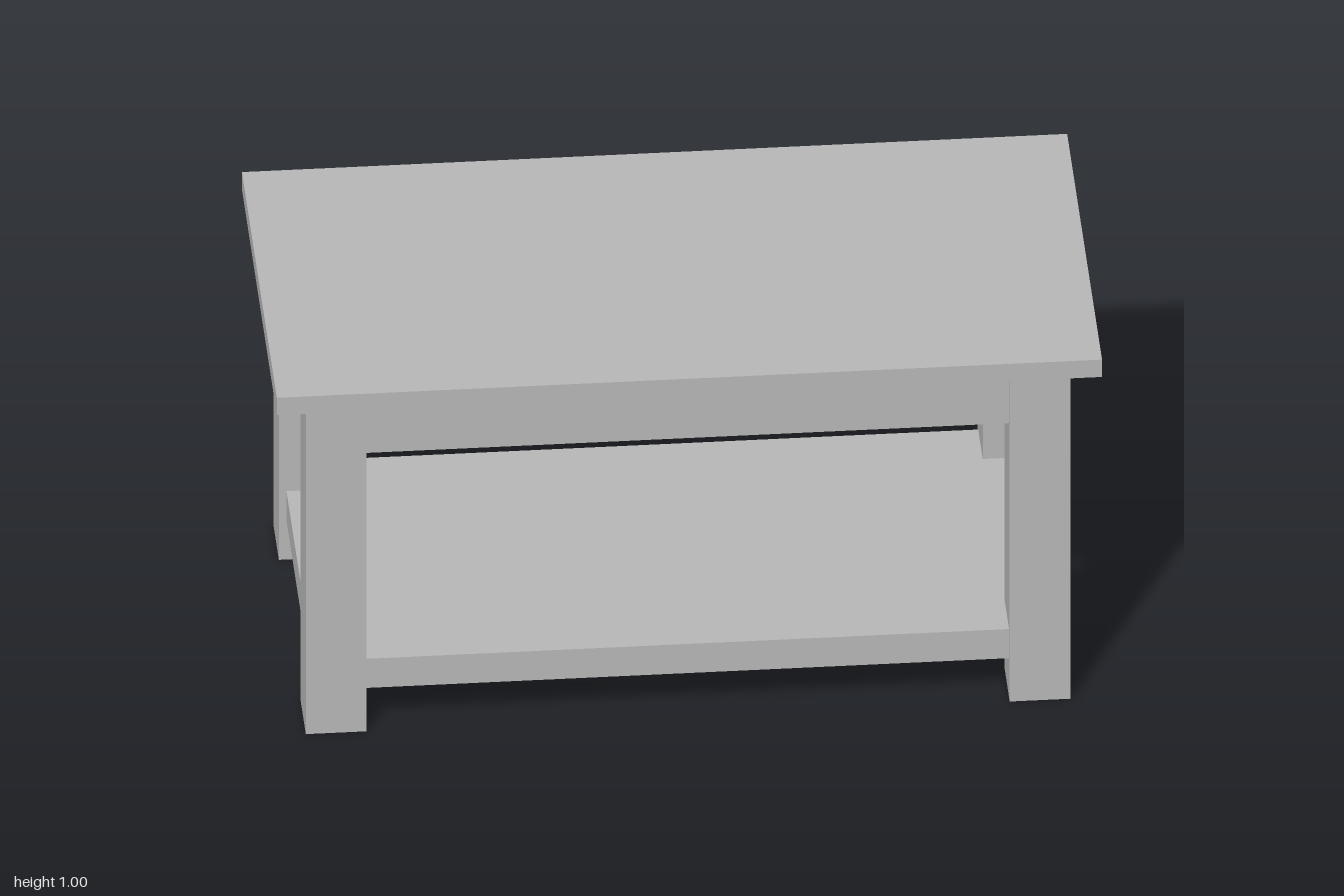
import * as THREE from 'three';

export function createModel() {
  const table = new THREE.Group();
  table.name = 'coffeeTable';

  const grey = new THREE.MeshStandardMaterial({ color: 0xb8b8b8 });
  grey.name = 'plain grey';

  // Box given by its size, centre x/z and bottom height
  function box(name, w, h, d, x, bottom, z) {
    const mesh = new THREE.Mesh(new THREE.BoxGeometry(w, h, d), grey);
    mesh.name = name;
    mesh.position.set(x, bottom + h / 2, z);
    table.add(mesh);
  }

  const legX = 0.853, legZ = 0.386;   // leg centres
  const legW = 0.147, legD = 0.149;   // leg section
  const inX = legX - legW / 2, inZ = legZ - legD / 2; // inner leg faces
  const outX = 0.908, outZ = 0.442;   // outer faces of aprons and shelf
  const underTop = 0.95, board = 0.035;

  box('tableTop', 2, 0.05, 1, 0, underTop, 0);

  for (const s of [-1, 1]) {
    const side = s > 0 ? 'left' : 'right';
    const end = s > 0 ? 'front' : 'back';

    // Legs
    box(side + 'FrontLeg', legW, underTop, legD, s * legX, 0, legZ);
    box(side + 'BackLeg', legW, underTop, legD, s * legX, 0, -legZ);

    // Aprons between the legs, set slightly back from their outer faces
    box(end + 'Apron', inX * 2, 0.157, board, 0, 0.791, s * (outZ - board / 2));
    box(side + 'Apron', board, 0.157, inZ * 2, s * (outX - board / 2), 0.791, 0);
  }

  // Lower shelf, notched around the legs
  const outline = [
    [-inX, -outZ], [inX, -outZ], [inX, -inZ], [outX, -inZ],
    [outX, inZ], [inX, inZ], [inX, outZ], [-inX, outZ],
    [-inX, inZ], [-outX, inZ], [-outX, -inZ], [-inX, -inZ],
  ].map(([x, z]) => new THREE.Vector2(x, z));
  const shelfGeometry = new THREE.ExtrudeGeometry(new THREE.Shape(outline), {
    depth: 0.084, bevelEnabled: false,
  });
  shelfGeometry.rotateX(-Math.PI / 2);
  const shelf = new THREE.Mesh(shelfGeometry, grey);
  shelf.name = 'lowerShelf';
  shelf.position.y = 0.113;
  table.add(shelf);

  return table;
}
